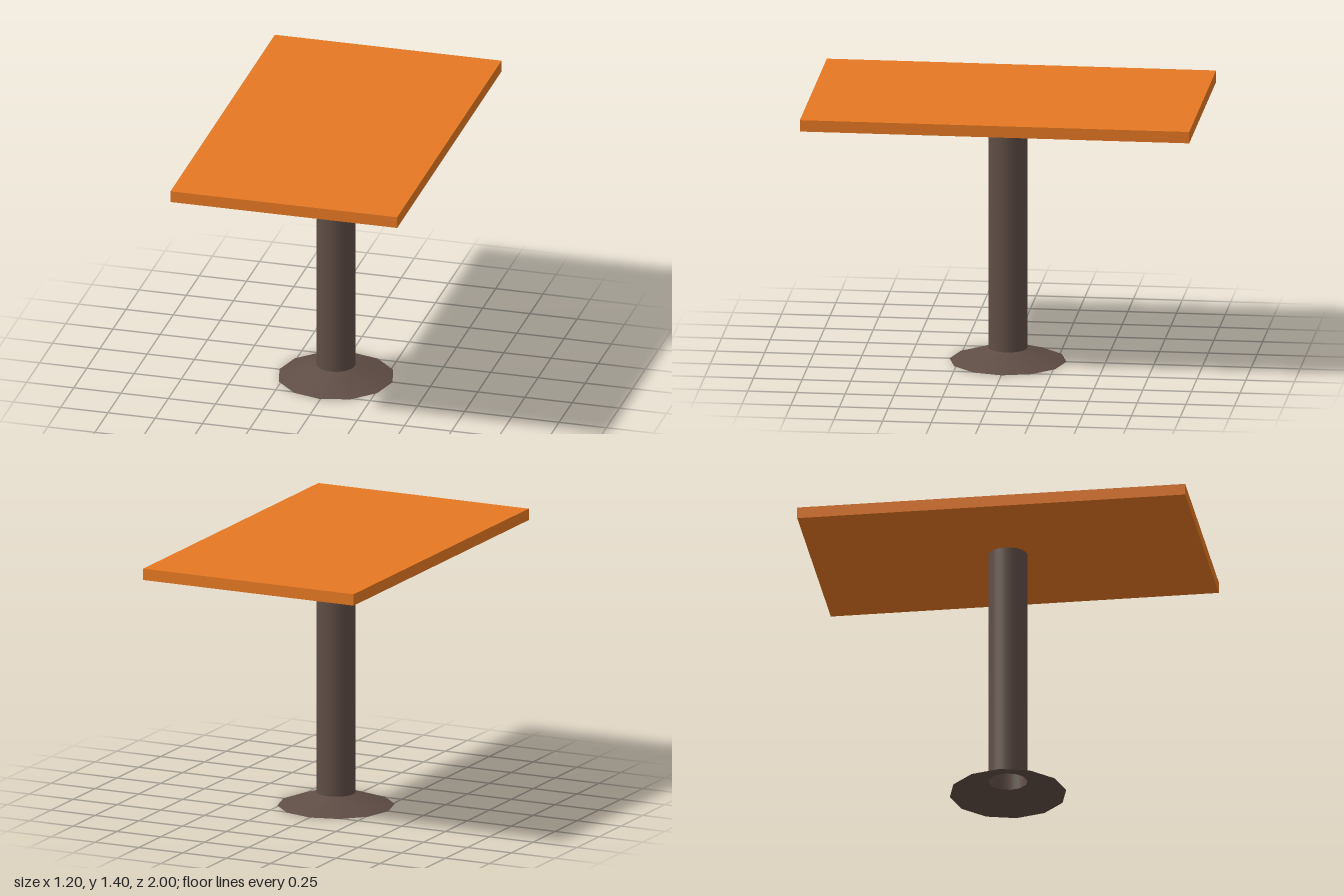
import * as THREE from 'three';

export function createModel() {
  const table = new THREE.Group();
  table.name = 'pedestalTable';

  const orange = new THREE.MeshStandardMaterial({ color: 0xe67822 });
  const brown = new THREE.MeshStandardMaterial({ color: 0x5f4d45, side: THREE.DoubleSide });

  const top = 1.4, slab = 0.06, baseHeight = 0.067, postRadius = 0.1;
  const postHeight = top - slab - baseHeight;

  function add(name, geometry, material, y) {
    const mesh = new THREE.Mesh(geometry, material);
    mesh.name = name;
    mesh.position.y = y;
    table.add(mesh);
  }

  // Flat rectangular top
  add('tabletop', new THREE.BoxGeometry(1.2, slab, 2), orange, top - slab / 2);

  // Hollow round post, open at the foot
  add('post', new THREE.CylinderGeometry(postRadius, postRadius, postHeight, 32, 1, true),
    brown, baseHeight + postHeight / 2);

  // Flared foot, an open shell underneath
  add('base', new THREE.CylinderGeometry(postRadius, 0.3, baseHeight, 12, 1, true),
    brown, baseHeight / 2);

  return table;
}
